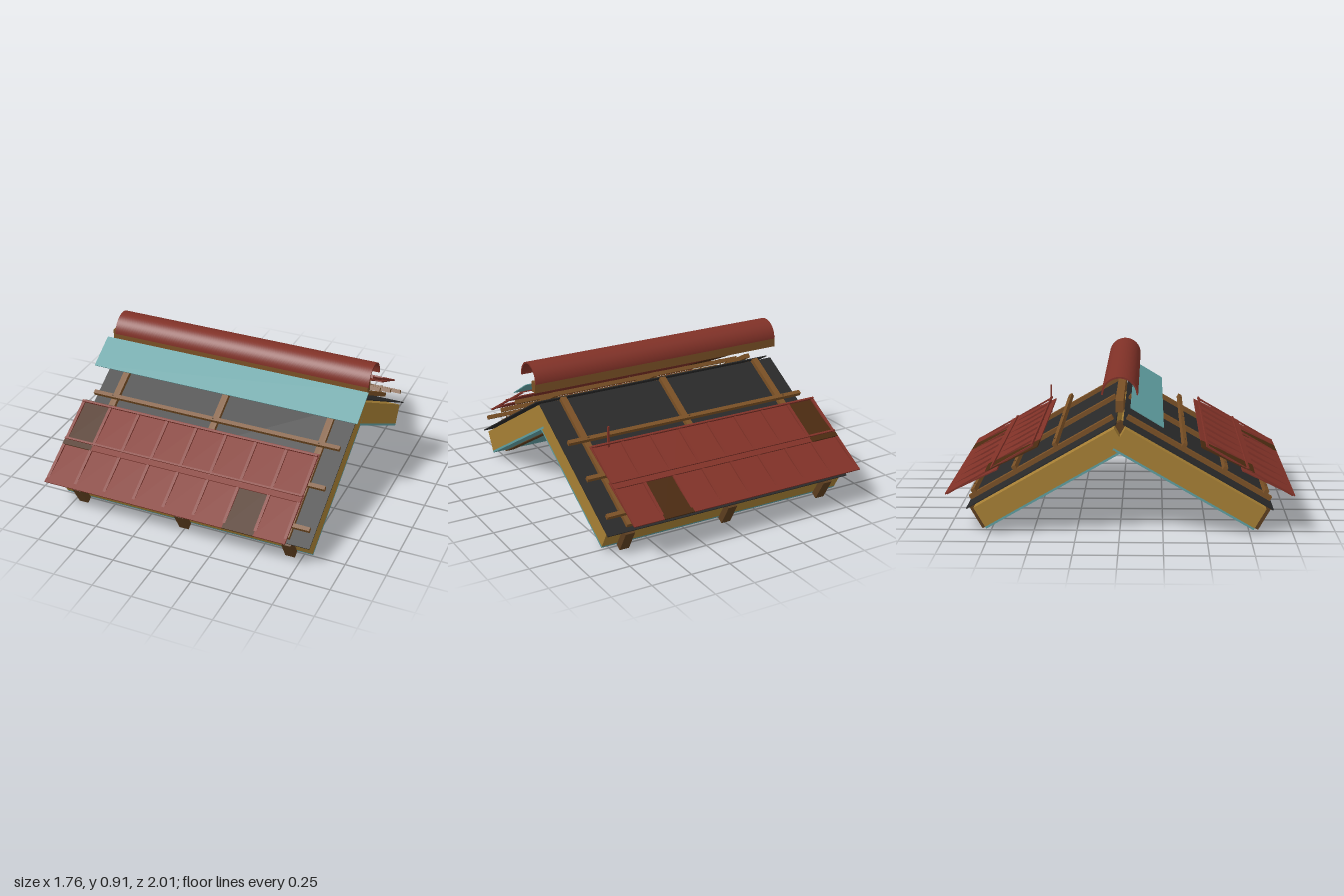
import * as THREE from 'three';

const PITCH = Math.PI / 6;
const APEX = 0.64;

function mat(name, color, side = THREE.FrontSide) {
  const m = new THREE.MeshStandardMaterial({ color, side });
  m.name = name;
  return m;
}

export function createModel() {
  const clay = mat('clay red', 0x803127);
  const oldClay = mat('dark brown', 0x4a2a10);
  const rafterWood = mat('rafter brown', 0x5c3d1e);
  const battenWood = mat('batten brown', 0x7a5025);
  const wool = mat('insulation ochre', 0xa67f34);
  const felt = mat('membrane black', 0x292929);
  const foil = mat('teal', 0x5f9ea0);

  const model = new THREE.Group();
  model.name = 'layeredRoof';

  // Box given by its min and max on each axis
  function box(parent, name, material, x0, x1, y0, y1, z0, z1) {
    const mesh = new THREE.Mesh(new THREE.BoxGeometry(x1 - x0, y1 - y0, z1 - z0), material);
    mesh.position.set((x0 + x1) / 2, (y0 + y1) / 2, (z0 + z1) / 2);
    mesh.name = name;
    parent.add(mesh);
    return mesh;
  }

  const rafterX = [-0.69, -0.005, 0.68];
  const battenS = [0.38, 0.65, 0.922];
  const tileX0 = -0.835, tileW = 1.555 / 8;

  // One roof slope; s runs down the slope from the apex, n is height above the rafters
  function buildSlope(side) {
    const slope = new THREE.Group();
    slope.name = side > 0 ? 'frontSlope' : 'backSlope';
    slope.position.y = APEX;
    slope.rotation.x = side * PITCH;
    model.add(slope);

    const slab = (name, m, x0, x1, n0, n1, s0, s1) =>
      box(slope, name, m, x0, x1, n0, n1,
        Math.min(side * s0, side * s1), Math.max(side * s0, side * s1));

    // Structure and sheet layers
    slab('insulation', wool, -0.82, 0.81, -0.134, -0.003, 0.038, 0.975);
    slab('innerLining', foil, -0.82, 0.81, -0.147, -0.134, 0.038, 0.975);
    slab('membrane', felt, -0.83, 0.825, 0.012, 0.018, 0.015, 1.01);
    for (const x of rafterX) {
      slab('rafter', rafterWood, x - 0.03, x + 0.03, -0.152, 0, 0, 1.017);
      slab('counterBatten', battenWood, x - 0.02, x + 0.02, 0.028, 0.055, 0.025, 0.988);
    }

    // Tile battens with their nails
    for (const s of battenS) {
      slab('tileBatten', battenWood, -0.82, 0.81, 0.07, 0.095, s - 0.0125, s + 0.0125);
      for (const x of rafterX) {
        const nail = new THREE.Mesh(new THREE.CylinderGeometry(0.005, 0.005, 0.04, 8), rafterWood);
        nail.name = 'nail';
        nail.position.set(x, 0.08, side * s);
        slope.add(nail);
      }
    }

    // Two overlapping rows of tiles, each tipped up at its lower edge
    [{ s: 0.466, dark: 0 }, { s: 0.735, dark: 6 }].forEach((row) => {
      const length = 0.336;
      for (let i = 0; i < 8; i++) {
        const x0 = tileX0 + i * tileW;
        const tile = slab('tile', i === row.dark ? oldClay : clay,
          x0, x0 + tileW, 0.134, 0.141, row.s, row.s + length);
        tile.rotation.x = -side * Math.atan(0.025 / length);
      }
      // Joint ribs and head rib
      for (let i = 0; i <= 8; i++) {
        const x = THREE.MathUtils.clamp(tileX0 + i * tileW, tileX0 + 0.009, 0.711);
        slab('tileRib', clay, x - 0.009, x + 0.009, 0.141, 0.151, row.s + 0.02, row.s + 0.325);
      }
      slab('headRib', clay, tileX0, 0.72, 0.147, 0.158, row.s + 0.017, row.s + 0.029);
    });
  }
  buildSlope(1);
  buildSlope(-1);

  // Upright pin on the back slope
  box(model, 'pin', clay, 0.605, 0.616, 0.44, 0.63, -0.5, -0.489);

  // Ridge board and flashing on the front side
  box(model, 'ridgeBoard', battenWood, -0.86, 0.85, 0.72, 0.786, -0.023, 0.023);
  const flashing = box(model, 'ridgeFlashing', foil, -0.88, 0.87, -0.0025, 0.0025, -0.109, 0.109);
  flashing.position.set(-0.005, 0.694, 0.157);
  flashing.rotation.x = Math.atan2(0.113, 0.187);

  // Half-round ridge cap
  const arc = new THREE.Shape();
  arc.absarc(0, 0, 0.105, 0, Math.PI, false);
  arc.absarc(0, 0, 0.095, Math.PI, 0, true);
  arc.closePath();
  const cap = new THREE.Mesh(
    new THREE.ExtrudeGeometry(arc, { depth: 1.68, bevelEnabled: false, curveSegments: 24 }), clay);
  cap.name = 'ridgeCap';
  cap.rotation.y = Math.PI / 2;
  cap.position.set(-0.8, 0.808, 0);
  model.add(cap);

  return model;
}
